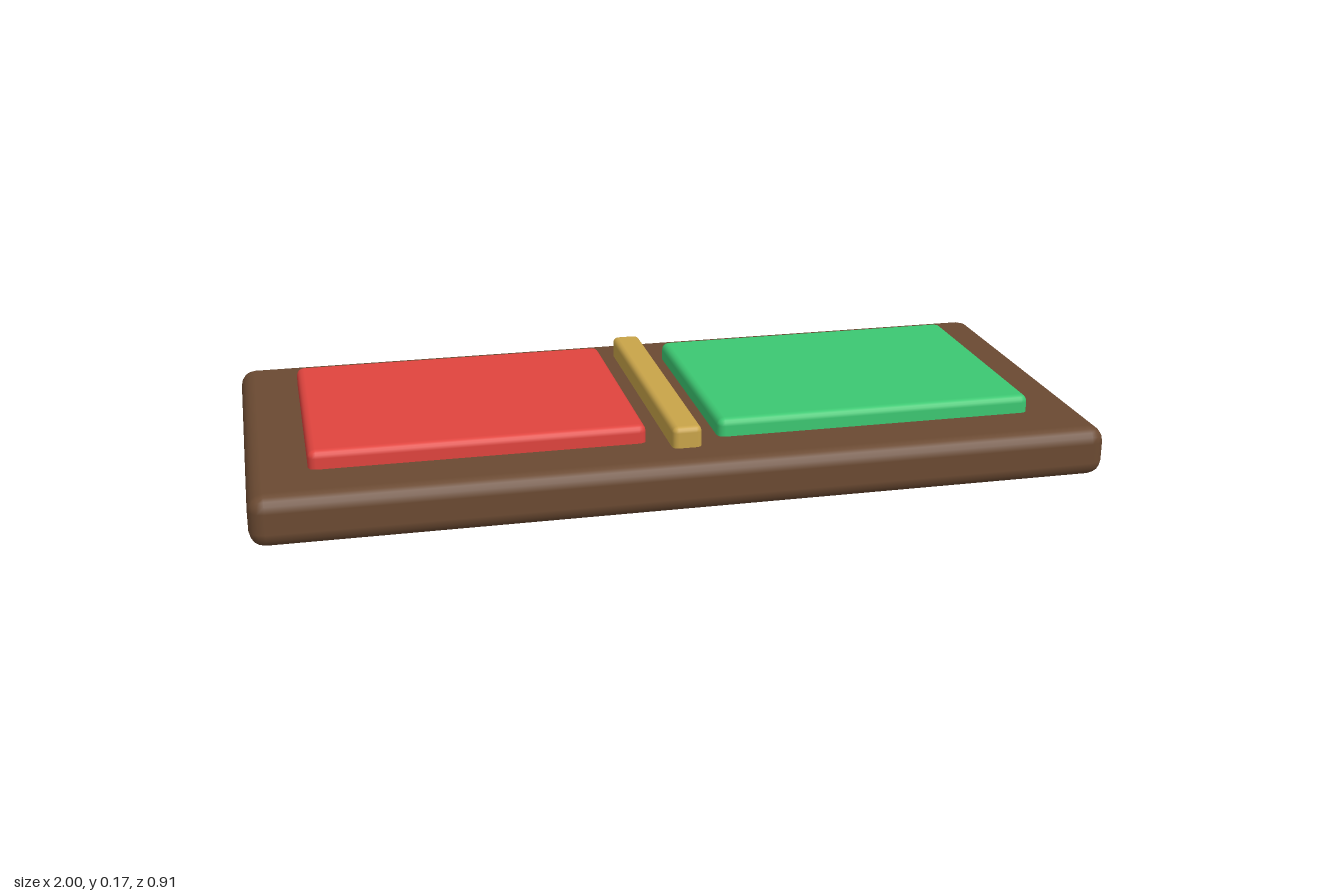
import * as THREE from 'three';
import { RoundedBoxGeometry } from 'three/addons/geometries/RoundedBoxGeometry.js';

const material = (name, color) => {
  const m = new THREE.MeshStandardMaterial({ color });
  m.name = name;
  return m;
};

export function createModel() {
  const group = new THREE.Group();
  group.name = 'twoPadBoard';

  const brown = material('brown wood', 0x6b4a32);
  const red = material('red', 0xe0443e);
  const green = material('green', 0x3cc872);
  const gold = material('gold', 0xc9a449);

  // Rounded block spanning bottom to top, centred on x and z = 0
  const block = (name, mat, x, bottom, top, width, depth, radius) => {
    const geometry = new RoundedBoxGeometry(width, top - bottom, depth, 2, radius);
    const mesh = new THREE.Mesh(geometry, mat);
    mesh.name = name;
    mesh.position.set(x, (bottom + top) / 2, 0);
    group.add(mesh);
  };

  // Base board
  block('board', brown, 0, 0, 0.12, 2, 0.91, 0.036);

  // Coloured pads, sunk slightly into the board
  block('rightPad', red, -0.473, 0.09, 0.163, 0.776, 0.608, 0.018);
  block('leftPad', green, 0.473, 0.09, 0.163, 0.776, 0.608, 0.018);

  // Raised bar between the pads
  block('divider', gold, 0, 0.09, 0.17, 0.07, 0.71, 0.014);

  return group;
}
